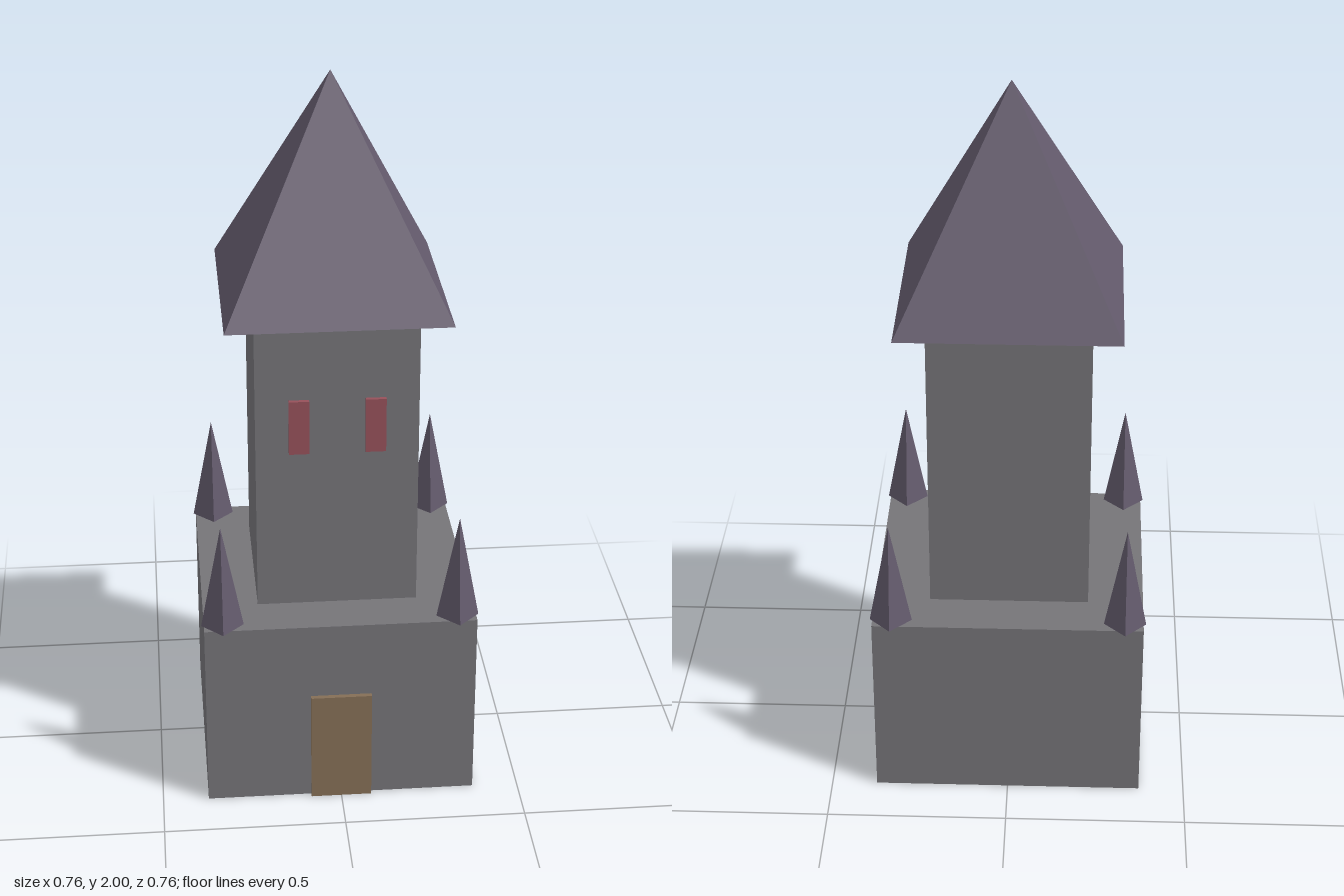
import * as THREE from 'three';

const material = (name, color) => {
  const m = new THREE.MeshStandardMaterial({ color, flatShading: true });
  m.name = name;
  return m;
};

export function createModel() {
  const stone = material('stone', 0x757478);
  const slate = material('slate', 0x645b6d);
  const wood = material('wood', 0x846e56);
  const redGlass = material('redGlass', 0x96505a);

  const tower = new THREE.Group();
  tower.name = 'tower';

  const add = (name, geometry, mat, x, y, z) => {
    const mesh = new THREE.Mesh(geometry, mat);
    mesh.name = name;
    mesh.position.set(x, y, z);
    tower.add(mesh);
  };

  // Box given by its size, standing on height y
  const box = (name, mat, w, h, d, x, y, z) =>
    add(name, new THREE.BoxGeometry(w, h, d), mat, x, y + h / 2, z);

  // Closed four-sided pyramid standing on height y
  const pyramid = (name, radius, h, turn, x, y, z) =>
    add(name, new THREE.ConeGeometry(radius, h, 4).rotateY(turn), slate, x, y + h / 2, z);

  // Stone body
  box('base', stone, 0.746, 0.545, 0.712, 0, 0, 0);
  box('shaft', stone, 0.44, 0.85, 0.44, 0, 0.545, 0);

  // Main roof, sides square to the walls
  pyramid('roof', 0.3 * Math.SQRT2, 0.605, Math.PI / 4, 0, 1.395, 0);

  // Corner spires, edges facing the walls
  for (const x of [-0.322, 0.322])
    for (const z of [-0.322, 0.322]) pyramid('cornerSpire', 0.058, 0.3, 0, x, 0.545, z);

  // Door and the two windows on the front
  box('door', wood, 0.168, 0.325, 0.03, 0, 0, 0.355);
  for (const side of [-1, 1])
    box(side > 0 ? 'leftWindow' : 'rightWindow', redGlass, 0.055, 0.155, 0.026, side * 0.103, 1.01, 0.219);

  return tower;
}
